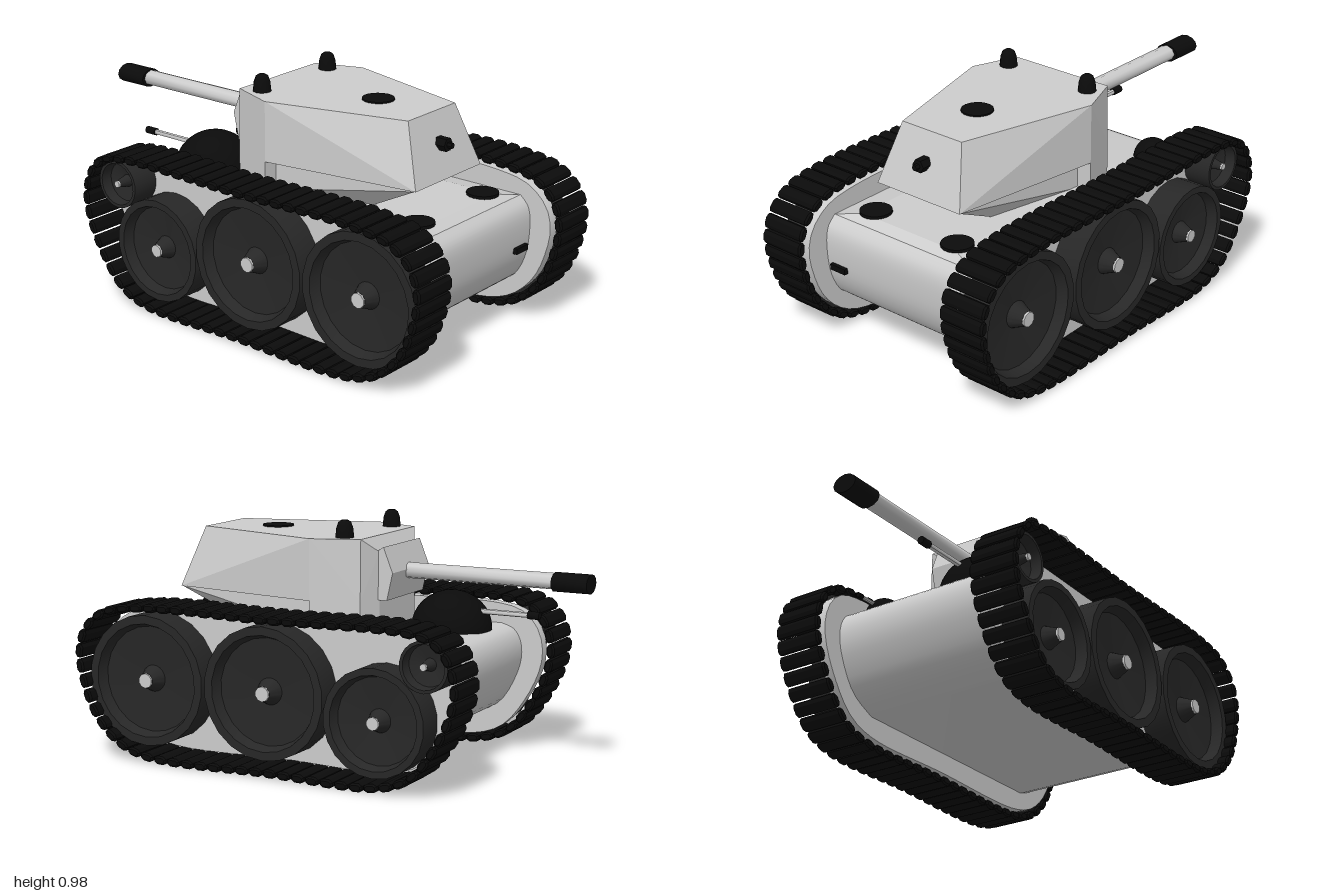
import * as THREE from 'three';
import { toCreasedNormals } from 'three/addons/utils/BufferGeometryUtils.js';
import { ConvexGeometry } from 'three/addons/geometries/ConvexGeometry.js';

const paint = (name, color) => {
  const m = new THREE.MeshStandardMaterial({ color });
  m.name = name;
  return m;
};

export function createModel() {
  const model = new THREE.Group();
  model.name = 'tank';
  const grey = paint('lightGrey', 0xcccccc);
  const black = paint('black', 0x0b0b0b);
  const dark = paint('darkGrey', 0x272727);

  const add = (name, geo, mat, x = 0, y = 0, z = 0, parent = model) => {
    const mesh = new THREE.Mesh(geo, mat);
    mesh.name = name;
    mesh.position.set(x, y, z);
    parent.add(mesh);
    return mesh;
  };
  const crease = (geo, angle = 0.7) => toCreasedNormals(geo, angle);
  const shapeOf = (pts) => new THREE.Shape(pts.map(([x, y]) => new THREE.Vector2(x, y)));
  // side profile swept across the width, from z0 to z1
  const slab = (pts, z0, z1, angle) => crease(
    new THREE.ExtrudeGeometry(shapeOf(pts), { depth: z1 - z0, bevelEnabled: false }).translate(0, 0, z0), angle);
  // convex block from half its corners, mirrored in z
  const block = (pts) => new ConvexGeometry(pts.flatMap(([x, y, z]) =>
    [new THREE.Vector3(x, y, z), new THREE.Vector3(x, y, -z)]));
  // rod along x between two ends
  const rod = (x0, x1, r, sides = 8, angle = 0.9) => crease(
    new THREE.CylinderGeometry(r, r, x1 - x0, sides).rotateZ(Math.PI / 2).translate((x0 + x1) / 2, 0, 0), angle);

  // Hull
  const rounded = (pts, n) => new THREE.SplineCurve(pts.map((p) => new THREE.Vector2(...p)))
    .getPoints(n).map((p) => [p.x, p.y]);
  const rear = rounded([[0.68, 0.125], [0.78, 0.17], [0.835, 0.27], [0.85, 0.39], [0.84, 0.47], [0.8, 0.515]], 18);
  const nose = rounded([[-0.48, 0.515], [-0.54, 0.49], [-0.57, 0.42], [-0.555, 0.32], [-0.48, 0.19], [-0.36, 0.125]], 18);
  add('hull', slab([...rear, ...nose], -0.36, 0.36), grey);
  add('engineDeck', block([
    [-0.14, 0.513, 0.36], [0.8, 0.513, 0.36], [-0.11, 0.54, 0.24], [0.76, 0.54, 0.24],
  ]), grey);

  // Track path, shared by the side plates and the links
  const path = [
    [-0.5, 0.617], [0.1, 0.617], [0.7, 0.617], [0.86, 0.585], [0.945, 0.51], [0.973, 0.42],
    [0.955, 0.3], [0.9, 0.17], [0.8, 0.07], [0.66, 0.02], [0.1, 0.018], [-0.38, 0.02],
    [-0.51, 0.07], [-0.61, 0.19], [-0.68, 0.34], [-0.69, 0.44], [-0.66, 0.53], [-0.6, 0.59],
  ];
  const loop = new THREE.CatmullRomCurve3(path.map(([x, y]) => new THREE.Vector3(x, y, 0)), true, 'centripetal');
  loop.arcLengthDivisions = 600;
  const plateOutline = loop.getSpacedPoints(80).slice(0, 80)
    .map((p) => [0.14 + (p.x - 0.14) * 0.965, 0.318 + (p.y - 0.318) * 0.93]);

  const linkGeo = crease(new THREE.ExtrudeGeometry(shapeOf([
    [-0.021, -0.004], [-0.012, -0.01], [0.012, -0.01], [0.021, -0.004],
    [0.021, 0.004], [0.012, 0.01], [-0.012, 0.01], [-0.021, 0.004],
  ]), { depth: 0.191, bevelThickness: 0.007, bevelSize: 0.007, bevelSegments: 1 }).translate(0, 0, -0.0955), 0.3);

  const wheelGeo = (r, hub) => crease(new THREE.LatheGeometry([
    [0.001, 0], [r, 0], [r, 0.12], [0.87 * r, 0.12], [0.81 * r, 0.075],
    [hub * 1.8, 0.06], [hub, 0.115], [0.001, 0.115],
  ].map(([x, y]) => new THREE.Vector2(x, y)), 22), 0.4);

  const wheels = [[-0.55, 0.49, 0.1, 0.014], [-0.34, 0.255, 0.213, 0.026],
    [0.14, 0.32, 0.265, 0.03], [0.68, 0.32, 0.265, 0.03]];
  const linkCount = 64;

  for (const s of [1, -1]) {
    const side = new THREE.Group();
    side.name = s > 0 ? 'leftRunningGear' : 'rightRunningGear';
    model.add(side);
    add('sidePlate', slab(plateOutline, s > 0 ? 0.355 : -0.4, s > 0 ? 0.4 : -0.355), grey, 0, 0, 0, side);
    for (let i = 0; i < linkCount; i++) {
      const p = loop.getPointAt(i / linkCount);
      const t = loop.getTangentAt(i / linkCount);
      add('trackLink', linkGeo, black, p.x, p.y, s * 0.4625, side).rotation.z = Math.atan2(t.y, t.x);
    }
    for (const [x, y, r, hub] of wheels) {
      const wheel = new THREE.Group();
      wheel.name = 'wheel';
      wheel.position.set(x, y, s * 0.4);
      wheel.rotation.x = s * Math.PI / 2;
      side.add(wheel);
      add('wheelDisc', wheelGeo(r, hub), dark, 0, 0, 0, wheel);
      add('hubCap', crease(new THREE.CylinderGeometry(hub, hub, 0.012, 10)), grey, 0, 0.117, 0, wheel);
    }
    // Small fittings found on both sides
    add('rearLamp', new THREE.BoxGeometry(0.025, 0.024, 0.078), black, 0.85, 0.32, s * 0.29);
    add('deckHatch', crease(new THREE.CylinderGeometry(0.064, 0.064, 0.012, 18)), black, 0.72, 0.545, s * 0.21);
    add('periscope', crease(new THREE.LatheGeometry([
      [0.037, 0], [0.033, 0.04], [0.025, 0.062], [0.014, 0.07], [0.001, 0.071],
    ].map(([x, y]) => new THREE.Vector2(x, y)), 12)), black, -0.052, 0.903, s * 0.202);
  }

  // Turret: upper body, front base and tapered rear underside
  add('turretBody', block([
    [-0.14, 0.905, 0.235], [0.05, 0.905, 0.305], [0.62, 0.905, 0.15],
    [-0.18, 0.85, 0.155], [-0.18, 0.66, 0.155], [-0.14, 0.66, 0.24],
    [0.05, 0.66, 0.305], [0.705, 0.66, 0.21],
  ]), grey);
  add('turretFrontBase', block([0.53, 0.66].flatMap((y) =>
    [[-0.18, y, 0.155], [-0.14, y, 0.24], [0.05, y, 0.305]])), grey);
  add('turretRearBase', block([
    [0.04, 0.66, 0.24], [0.7, 0.66, 0.208], [0.04, 0.53, 0.24], [0.45, 0.53, 0.15],
  ]), grey);
  add('turretHatch', crease(new THREE.CylinderGeometry(0.064, 0.064, 0.012, 18)), black, 0.365, 0.905, 0);
  add('rearPort', rod(0.65, 0.7, 0.028, 6, 0.3), black, 0, 0.79, 0);
  add('rearPortTip', rod(0.7, 0.72, 0.012, 6, 0.3), black, 0, 0.79, 0);

  // Main gun
  add('mantlet', slab([
    [-0.17, 0.66], [-0.215, 0.66], [-0.24, 0.77], [-0.2, 0.87], [-0.17, 0.85],
  ], -0.16, 0.16, 0.2), grey);
  add('barrel', rod(-0.87, -0.19, 0.04), grey, 0, 0.762, 0).scale.y = 0.8;
  add('muzzle', rod(-1, -0.855, 0.053, 12), black, 0, 0.76, 0).scale.y = 0.72;

  // Front deck domes with machine guns
  const dome = (r) => new THREE.SphereGeometry(r, 24, 8, 0, Math.PI * 2, 0, Math.PI / 2);
  add('largeDome', dome(0.165), black, -0.345, 0.512, 0.16).scale.y = 0.95;
  add('largeDomeGun', rod(-0.69, -0.45, 0.011), grey, 0, 0.593, 0.155);
  add('largeDomeGunTip', rod(-0.73, -0.68, 0.016), black, 0, 0.593, 0.155);
  add('smallDome', dome(0.078), black, -0.41, 0.512, -0.265);
  add('smallDomeGun', rod(-0.56, -0.44, 0.008), grey, 0, 0.55, -0.27);
  add('smallDomeGunTip', rod(-0.57, -0.545, 0.01), black, 0, 0.55, -0.27);

  return model;
}
